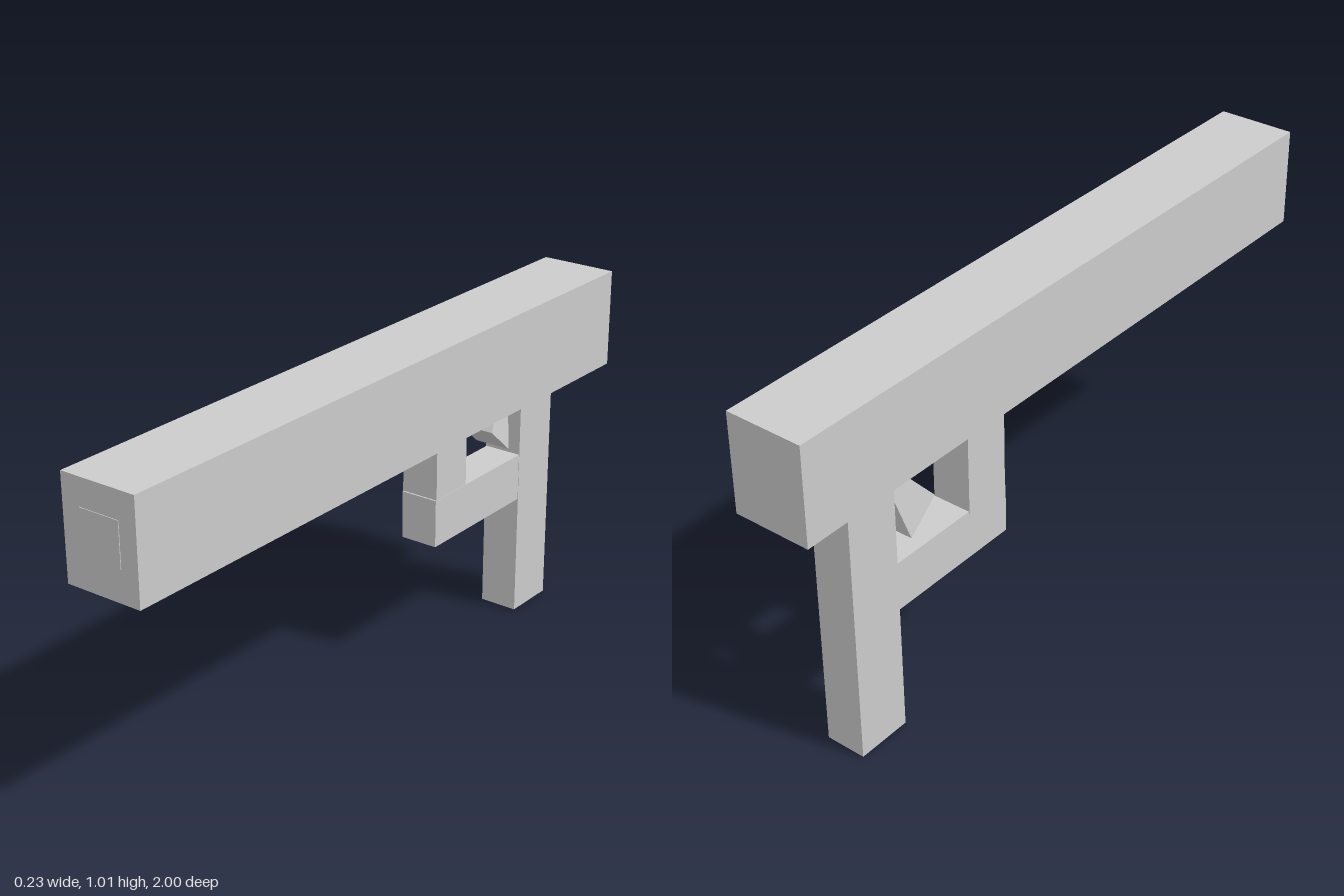
import * as THREE from 'three';
import { ConvexGeometry } from 'three/addons/geometries/ConvexGeometry.js';

export function createModel() {
  const group = new THREE.Group();
  const material = new THREE.MeshStandardMaterial({ color: 0xcccccc, flatShading: true });

  const add = (name, geometry) => {
    const mesh = new THREE.Mesh(geometry, material);
    mesh.name = name;
    group.add(mesh);
    return mesh;
  };

  // Box given by its extents along each axis
  const block = (name, [x0, x1], [y0, y1], [z0, z1]) =>
    add(name, new THREE.BoxGeometry(x1 - x0, y1 - y0, z1 - z0))
      .position.set((x0 + x1) / 2, (y0 + y1) / 2, (z0 + z1) / 2);

  // Long upper body with a square panel on its front end
  block('body', [-0.114, 0.112], [0.728, 1.011], [-1, 0.998]);
  block('frontPanel', [-0.061, 0.06], [0.815, 0.936], [0.9, 1]);

  // Handle, set to one side under the body
  block('handle', [-0.112, 0.005], [0, 0.74], [-0.866, -0.706]);

  // L-shaped guard joining body and handle
  block('guardBottom', [-0.11, 0.004], [0.366, 0.507], [-0.72, -0.289]);
  block('guardFront', [-0.112, 0.003], [0.5, 0.74], [-0.435, -0.294]);

  // Tilted four-sided pyramid whose tip sits inside the body
  const base = [-0.105, 0.007].flatMap((x) => [
    new THREE.Vector3(x, 0.625, -0.555),
    new THREE.Vector3(x, 0.546, -0.645),
  ]);
  const tip = new THREE.Vector3(-0.049, 0.803, -0.708);
  add('trigger', new ConvexGeometry([...base, tip]));

  return group;
}
